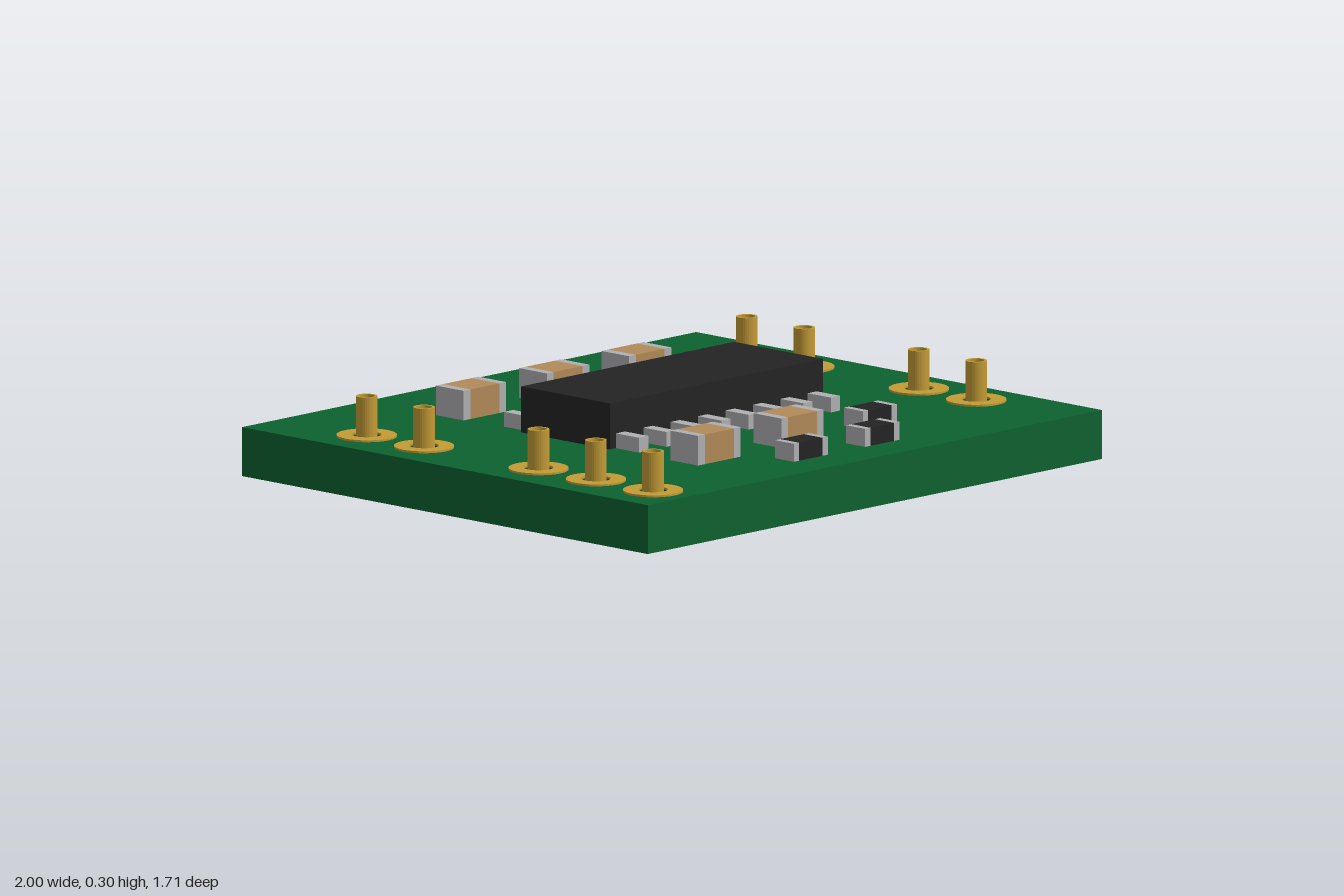
import * as THREE from 'three';

const mat = (name, color) => {
  const m = new THREE.MeshStandardMaterial({ color });
  m.name = name;
  return m;
};

const TOP = 0.152; // upper face of the board
const HOLE = 0.045;

// Adds a circular hole to a shape
function punch(shape, x, y, r) {
  const hole = new THREE.Path();
  hole.absarc(x, y, r, 0, Math.PI * 2, true);
  shape.holes.push(hole);
}

// Extrudes a plan shape upwards from y = 0
function extrudeUp(shape, depth) {
  const geo = new THREE.ExtrudeGeometry(shape, { depth, bevelEnabled: false, curveSegments: 16 });
  return geo.rotateX(-Math.PI / 2);
}

// Upright ring with an open bore
function ringGeometry(outer, inner, height) {
  const shape = new THREE.Shape();
  shape.absarc(0, 0, outer, 0, Math.PI * 2, false);
  punch(shape, 0, 0, inner);
  return extrudeUp(shape, height);
}

export function createModel() {
  const model = new THREE.Group();
  model.name = 'circuitBoard';
  const green = mat('board green', 0x0d6130);
  const gold = mat('gold plating', 0xc39b35);
  const black = mat('component black', 0x232323);
  const silver = mat('tinned metal', 0xb0b0b2);
  const tan = mat('ceramic tan', 0xb18a5a);

  function add(parent, name, geo, material, x, y, z) {
    const mesh = new THREE.Mesh(geo, material);
    mesh.name = name;
    mesh.position.set(x, y, z);
    parent.add(mesh);
  }

  // Pin positions: four on each side and a fifth on the right
  const pins = [[-0.837, 0.722]];
  for (const x of [-0.837, 0.837]) {
    for (const z of [-0.486, -0.244, 0.239, 0.481]) pins.push([x, z]);
  }

  // Board with drilled holes
  const w = 1, d = 0.856;
  const outline = new THREE.Shape();
  outline.moveTo(-w, -d).lineTo(w, -d).lineTo(w, d).lineTo(-w, d).closePath();
  for (const [x, z] of pins) punch(outline, x, -z, HOLE);
  add(model, 'board', extrudeUp(outline, TOP), green, 0, 0, 0);

  // Pads and hollow pins
  const padGeo = ringGeometry(0.092, HOLE, 0.006);
  const pinGeo = ringGeometry(0.033, 0.025, 0.126);
  for (const [x, z] of pins) {
    add(model, 'pad', padGeo, gold, x, TOP, z);
    add(model, 'pin', pinGeo, gold, x, TOP, z);
  }

  // Chip body with eight leads on each long side
  add(model, 'chipBody', new THREE.BoxGeometry(0.938, 0.143, 0.374), black, 0, TOP + 0.0715, 0);
  const leadGeo = new THREE.BoxGeometry(0.04, 0.046, 0.098);
  for (let i = 0; i < 8; i++) {
    for (const side of [-1, 1]) {
      add(model, 'chipLead', leadGeo, silver, -0.422 + i * 0.1206, TOP + 0.023, side * 0.236);
    }
  }

  // Two-terminal surface part: body between metal ends
  function chipPart(name, x, z, length, height, width, end, material) {
    const part = new THREE.Group();
    part.name = name;
    part.position.set(x, TOP + height / 2, z);
    const body = new THREE.BoxGeometry(length - 2 * end, height, width);
    const cap = new THREE.BoxGeometry(end, height, width);
    add(part, 'body', body, material, 0, 0, 0);
    for (const s of [-1, 1]) add(part, 'terminal', cap, silver, s * (length - end) / 2, 0, 0);
    model.add(part);
  }

  // Capacitors
  for (const [x, z] of [[-0.366, -0.497], [0, -0.497], [0.362, -0.497], [-0.366, 0.492], [0, 0.492]]) {
    chipPart('capacitor', x, z, 0.187, 0.092, 0.117, 0.03, tan);
  }

  // Resistors
  for (const [x, z] of [[0.36, 0.492], [-0.142, 0.682], [0.172, 0.682]]) {
    chipPart('resistor', x, z, 0.15, 0.056, 0.08, 0.023, black);
  }

  return model;
}
